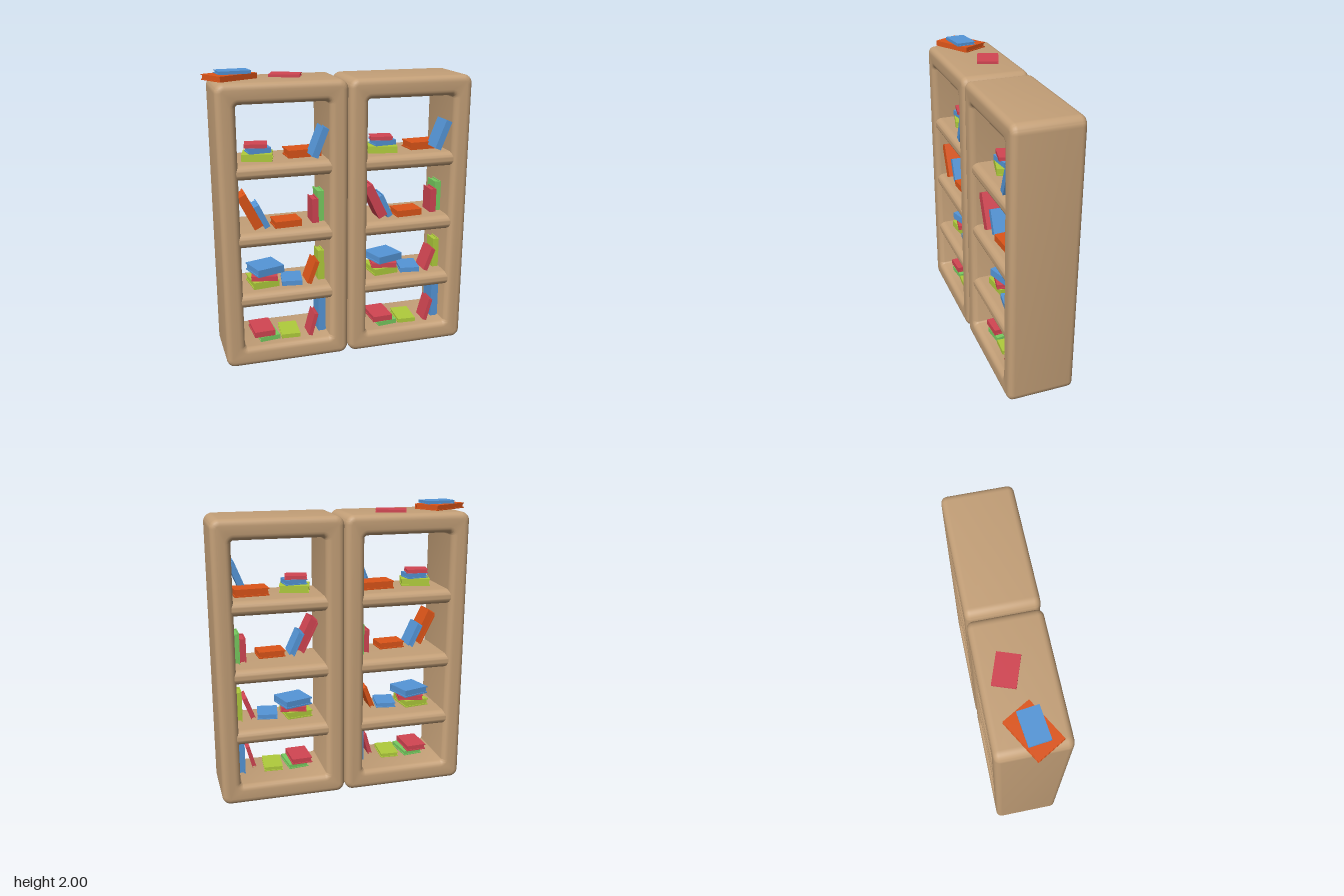
import * as THREE from 'three';
import { toCreasedNormals } from 'three/addons/utils/BufferGeometryUtils.js';

const mat = (color) => new THREE.MeshStandardMaterial({ color });
const wood = mat(0xc4a078);
const cover = {
  red: mat(0xd24552), blue: mat(0x5596d8), orange: mat(0xdd5519),
  lime: mat(0xb0cc3c), green: mat(0x78cc60),
};

function roundedRect(path, x0, y0, x1, y1, r) {
  path.moveTo(x0 + r, y0);
  path.lineTo(x1 - r, y0);
  path.absarc(x1 - r, y0 + r, r, -Math.PI / 2, 0);
  path.lineTo(x1, y1 - r);
  path.absarc(x1 - r, y1 - r, r, 0, Math.PI / 2);
  path.lineTo(x0 + r, y1);
  path.absarc(x0 + r, y1 - r, r, Math.PI / 2, Math.PI);
  path.lineTo(x0, y0 + r);
  path.absarc(x0 + r, y0 + r, r, Math.PI, Math.PI * 1.5);
  return path;
}

// Open frame with softened edges, centred on x = 0
function frameGeometry() {
  const shape = roundedRect(new THREE.Shape(), -0.43, 0.005, 0.43, 1.94, 0.06);
  shape.holes.push(roundedRect(new THREE.Path(), -0.302, 0.14, 0.302, 1.805, 0.02));
  const bevel = 0.04;
  const geo = new THREE.ExtrudeGeometry(shape, {
    depth: 0.46 - 2 * bevel, bevelThickness: bevel, bevelSize: bevel,
    bevelOffset: -bevel, bevelSegments: 5, curveSegments: 6,
  });
  geo.translate(0, 0, -0.23 + bevel);
  return toCreasedNormals(geo, 0.7);
}

// Shelf board: rounded profile run across the opening
function shelfGeometry() {
  const profile = roundedRect(new THREE.Shape(), -0.22, -0.049, 0.22, 0.049, 0.045);
  const geo = new THREE.ExtrudeGeometry(profile, { depth: 0.64, bevelEnabled: false, curveSegments: 6 });
  geo.translate(0, 0, -0.32).rotateY(Math.PI / 2);
  return toCreasedNormals(geo, 0.7);
}

// Book: two boards, a spine at the front and an inset page block
function book([color, x, y, z, w, h, d, ry = 0, rz = 0]) {
  const group = new THREE.Group();
  group.name = 'book';
  const flat = h < w;
  const t = flat ? h : w;
  const board = t * 0.18;
  const inset = 0.006;
  const add = (name, along, across, depth, offset, dz) => {
    const size = flat ? [across, along, depth] : [along, across, depth];
    const mesh = new THREE.Mesh(new THREE.BoxGeometry(...size), cover[color]);
    mesh.name = name;
    mesh.position.set(flat ? 0 : offset, flat ? offset : 0, dz);
    group.add(mesh);
  };
  const span = flat ? w : h;
  for (const s of [-1, 1]) add('bookBoard', board, span, d, s * (t - board) / 2, 0);
  add('bookSpine', t - 2 * board, span, 0.01, 0, d / 2 - 0.005);
  add('bookPages', t - 2 * board, span - 2 * inset, d - inset - 0.01, 0, (inset - 0.01) / 2);
  group.position.set(x, y, z);
  group.rotation.set(0, ry, rz);
  return group;
}

// Books of one case, relative to its centre; the leaning colours vary
// Entry: colour, centre x y z, width, height, depth, turn, lean
const shelfBooks = (tall, low) => [
  // bottom
  ['green', -0.125, 0.157, 0.05, 0.14, 0.033, 0.2, 0.12],
  ['red', -0.155, 0.194, 0.045, 0.145, 0.04, 0.21, 0.05],
  ['lime', 0.04, 0.155, 0.05, 0.13, 0.03, 0.2, -0.06],
  ['red', 0.193, 0.225, 0.1, 0.028, 0.165, 0.13, 0, -0.27],
  ['blue', 0.272, 0.274, 0.03, 0.054, 0.268, 0.14],
  // second
  ['lime', -0.137, 0.554, 0.03, 0.18, 0.048, 0.2, 0.12],
  ['red', -0.12, 0.596, 0.03, 0.18, 0.034, 0.19, -0.2],
  ['blue', -0.115, 0.64, 0.02, 0.2, 0.052, 0.19, 0.3],
  ['blue', 0.065, 0.548, 0.05, 0.14, 0.034, 0.18, -0.15],
  [low, 0.2, 0.61, 0.07, 0.032, 0.165, 0.15, 0, -0.36],
  ['lime', 0.272, 0.637, 0.03, 0.045, 0.215, 0.11],
  // third
  [tall, -0.228, 1.095, 0.1, 0.065, 0.25, 0.15, 0, 0.46],
  ['blue', -0.146, 1.047, 0.07, 0.04, 0.17, 0.15, 0, 0.44],
  ['orange', 0.028, 0.983, 0.08, 0.185, 0.045, 0.14, 0.07],
  ['red', 0.232, 1.04, 0.03, 0.045, 0.17, 0.13],
  ['green', 0.278, 1.063, 0, 0.045, 0.215, 0.13],
  // fourth
  ['lime', -0.145, 1.44, 0.04, 0.2, 0.048, 0.15, -0.25],
  ['blue', -0.143, 1.484, 0.04, 0.15, 0.036, 0.12, 0.12],
  ['red', -0.155, 1.515, 0.04, 0.15, 0.025, 0.12, -0.2],
  ['orange', 0.165, 1.442, 0, 0.23, 0.052, 0.15, 0.07],
  ['blue', 0.242, 1.535, 0.13, 0.044, 0.205, 0.15, 0, -0.38],
];

function bookcase(name, x, tall, low) {
  const group = new THREE.Group();
  group.name = name;
  const frame = new THREE.Mesh(frameGeometry(), wood);
  frame.name = 'frame';
  group.add(frame);
  const boardGeo = shelfGeometry();
  for (const y of [0.48, 0.907, 1.367]) {
    const shelf = new THREE.Mesh(boardGeo, wood);
    shelf.name = 'shelf';
    shelf.position.y = y;
    group.add(shelf);
  }
  for (const spec of shelfBooks(tall, low)) group.add(book(spec));
  group.position.x = x;
  return group;
}

export function createModel() {
  const model = new THREE.Group();
  model.name = 'bookcases';
  model.add(bookcase('rightBookcase', -0.41, 'orange', 'orange'));
  model.add(bookcase('leftBookcase', 0.457, 'red', 'red'));

  // Loose books on top
  const topBooks = [
    ['orange', -0.715, 1.961, 0.015, 0.295, 0.036, 0.195, 0.52],
    ['blue', -0.695, 1.99, 0.02, 0.21, 0.021, 0.135, 0.12],
    ['red', -0.335, 1.949, -0.06, 0.205, 0.018, 0.145, -0.34],
  ];
  for (const spec of topBooks) model.add(book(spec));
  return model;
}
